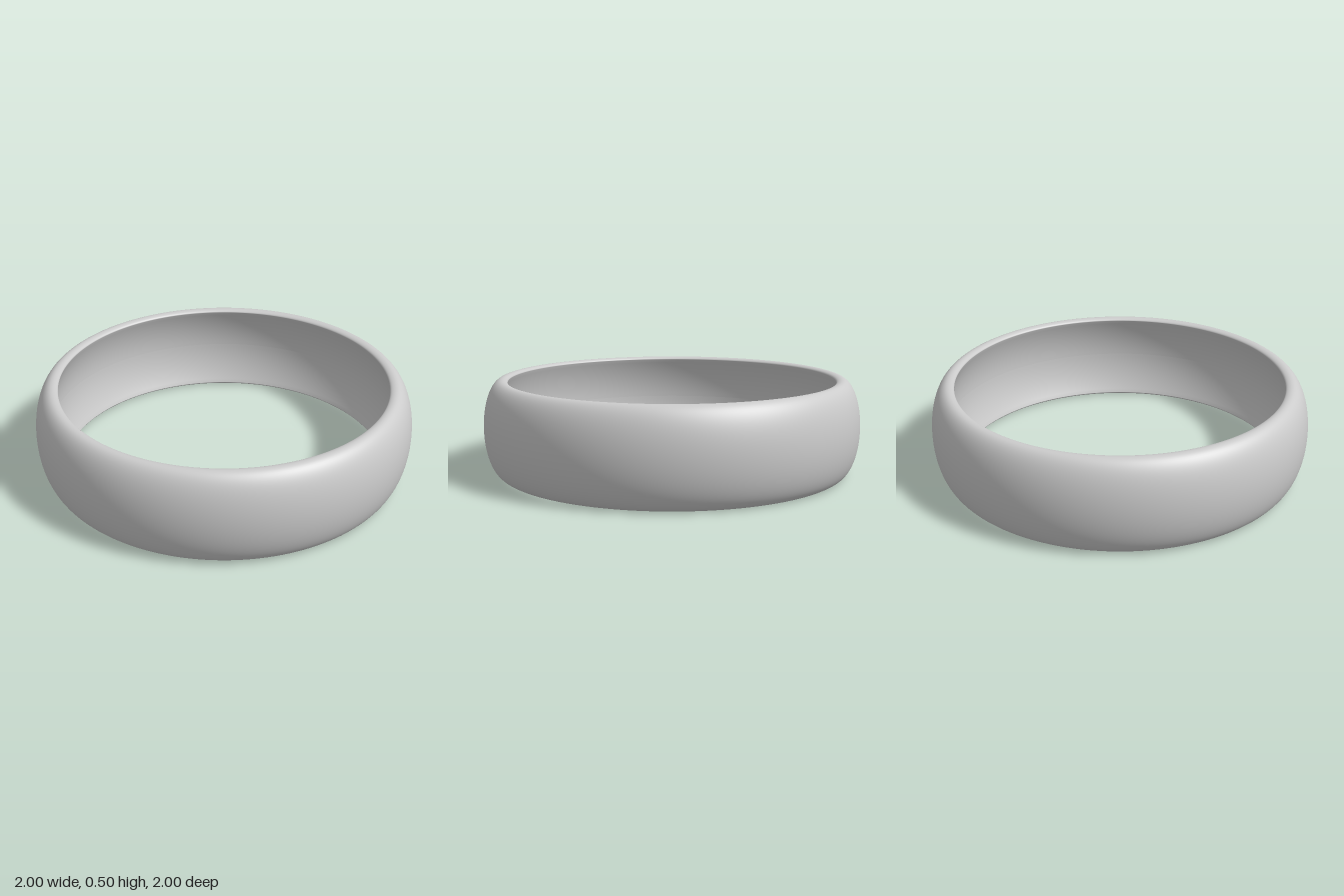
import * as THREE from 'three';

export function createModel() {
  const group = new THREE.Group();
  const H = 0.25;    // half height of the band
  const rim = 0.235; // half height of the innermost rim edge
  const pts = [];

  // Shallow hollow on the inner wall, widest at mid height
  const inner = (y) => 0.87 + 0.055 * (1 - (y / rim) ** 2);
  const N = 12;
  const add = (r, y) => pts.push(new THREE.Vector2(r, y + H));

  // Inner wall, from the middle down to the lower rim
  for (let i = 0; i <= N; i++) add(inner(-rim * i / N), -rim * i / N);

  // Rounded lower rim
  const arc = (a) => [0.9 - 0.03 * Math.cos(a), rim + (H - rim) * Math.sin(a)];
  for (let i = 1; i < 8; i++) {
    const [r, y] = arc(i / 8 * Math.PI / 2);
    add(r, -y);
  }

  // Domed outer wall, a half ellipse
  for (let i = 0; i <= 40; i++) {
    const a = -Math.PI / 2 + Math.PI * i / 40;
    add(0.9 + 0.1 * Math.cos(a), H * Math.sin(a));
  }

  // Rounded upper rim
  for (let i = 7; i > 0; i--) add(...arc(i / 8 * Math.PI / 2));

  // Inner wall, from the upper rim back to the middle
  for (let i = N; i >= 0; i--) add(inner(rim * i / N), rim * i / N);

  const band = new THREE.Mesh(
    new THREE.LatheGeometry(pts, 160),
    new THREE.MeshStandardMaterial({ color: 0xcccccc })
  );
  band.name = 'ringBand';
  group.add(band);
  return group;
}
